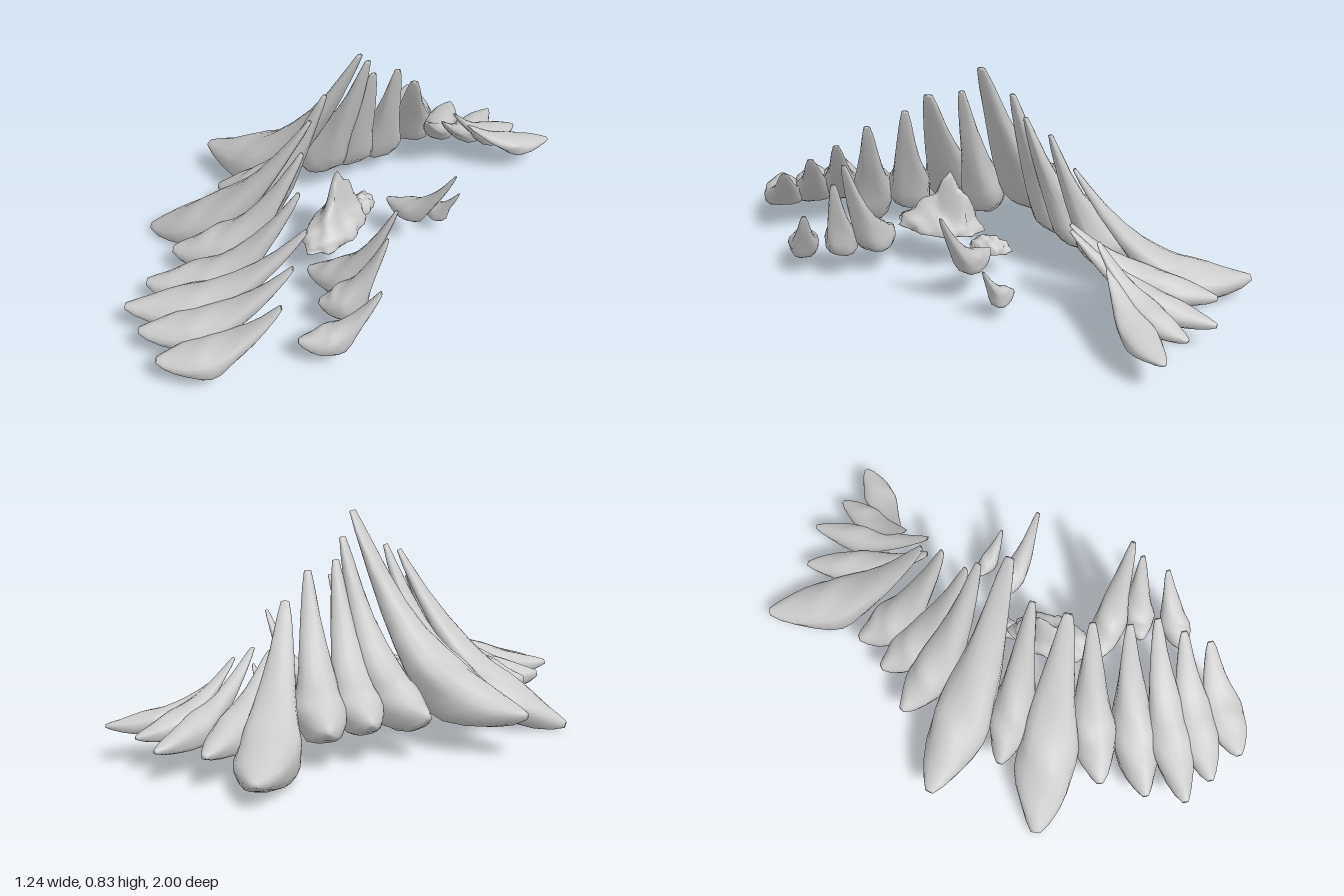
import * as THREE from 'three';

const material = new THREE.MeshStandardMaterial({ color: 0xcccccc, side: THREE.DoubleSide });

// Thickness along a spike, from its root (t = 0) to its tip (t = 1)
const PROFILE = [[0, 0.16], [0.05, 0.4], [0.13, 0.66], [0.22, 0.88], [0.31, 1], [0.38, 1.02], [0.45, 0.98],
  [0.53, 0.88], [0.63, 0.74], [0.74, 0.58], [0.85, 0.42], [0.95, 0.27], [1, 0.15]];
const SIDES = 14;

// Rounded-square curve used for the blunt underside
const blunt = v => Math.sign(v) * Math.abs(v) ** 0.7;

// A claw-like spike: cross-sections swept along a bent path from root to tip.
// The underside swells into a squared heel a little before the middle.
function spike(name, root, tip, width, depth, sag = 0.05, heel = 0.45) {
  const a = new THREE.Vector3(...root), b = new THREE.Vector3(...tip);
  const bend = a.clone().lerp(b, 0.53);
  bend.y = a.y - sag;
  const path = new THREE.CubicBezierCurve3(a, a.clone().lerp(bend, 0.74), b.clone().lerp(bend, 0.74), b);
  const heading = new THREE.Vector3(b.x - a.x, 0, b.z - a.z).normalize();
  const across = new THREE.Vector3(0, 1, 0).cross(heading);
  const pos = [], index = [];

  PROFILE.forEach(([t, r], i) => {
    const c = path.getPoint(t);
    const up = path.getTangent(t).cross(across);
    const swell = 1 + heel * Math.exp(-(((t - 0.42) / 0.16) ** 2));
    for (let j = 0; j < SIDES; j++) {
      const q = (j / SIDES) * Math.PI * 2;
      const under = Math.sin(q) < -1e-6;
      const u = under ? blunt(Math.cos(q)) : Math.cos(q);
      const v = under ? blunt(Math.sin(q)) * swell : Math.sin(q);
      // slight ridges make the surface look worn
      const ridge = 1 + 0.05 * Math.sin(3 * q + i * 1.3 + root[2] * 9);
      const p = c.clone()
        .addScaledVector(across, u * r * ridge * width / 2)
        .addScaledVector(up, v * r * ridge * (1 - 0.35 * t * t) * depth / 2);
      pos.push(p.x, p.y, p.z);
      if (i < PROFILE.length - 1) {
        const k = i * SIDES + j, l = i * SIDES + (j + 1) % SIDES;
        index.push(k, l, k + SIDES, l, l + SIDES, k + SIDES);
      }
    }
  });

  // Close both ends
  const last = (PROFILE.length - 1) * SIDES, n = pos.length / 3;
  pos.push(a.x, a.y, a.z, b.x, b.y, b.z);
  for (let j = 0; j < SIDES; j++) {
    const k = (j + 1) % SIDES;
    index.push(n, k, j, n + 1, last + j, last + k);
  }
  const geo = new THREE.BufferGeometry();
  geo.setAttribute('position', new THREE.Float32BufferAttribute(pos, 3));
  geo.setIndex(index);
  geo.computeVertexNormals();
  const mesh = new THREE.Mesh(geo, material);
  mesh.name = name;
  return mesh;
}

// A ragged lump: a squashed, dented sphere with a flat base; peaks are [x, z, height, spread]
function lump(name, center, size, peaks) {
  const geo = new THREE.SphereGeometry(1, 32, 20);
  const p = geo.attributes.position;
  for (let i = 0; i < p.count; i++) {
    const x = p.getX(i), y = p.getY(i), z = p.getZ(i);
    const rough = 1 + 0.1 * (Math.sin(7 * x + 3 * z) * Math.cos(6 * z - 2 * y) + 0.6 * Math.sin(11 * z + 5 * y));
    let py = center[1] + (y > 0 ? y * rough : y * 0.3) * size[1];
    for (const [px, pz, h, s] of peaks)
      if (y > 0) py += h * y * Math.exp(-((x - px) ** 2 + (z - pz) ** 2) / (s * s));
    p.setXYZ(i, center[0] + x * size[0] * rough, py, center[2] + z * size[2] * rough);
  }
  geo.computeVertexNormals();
  const mesh = new THREE.Mesh(geo, material);
  mesh.name = name;
  return mesh;
}

function row(name, spikes) {
  const group = new THREE.Group();
  group.name = name;
  spikes.forEach((s, i) => group.add(spike(`${name}Spike${i + 1}`, ...s)));
  return group;
}

export function createModel() {
  const model = new THREE.Group();
  model.name = 'spikeCluster';

  // Long curved row, front to back: root, tip, width, depth, sag, heel
  model.add(row('mainRow', [
    [[-0.11, 0.17, 0.98], [0.23, 0.36, 0.74], 0.16, 0.09, 0.04],
    [[-0.24, 0.17, 0.90], [0.21, 0.43, 0.63], 0.16, 0.11, 0.04],
    [[-0.35, 0.17, 0.83], [0.20, 0.50, 0.52], 0.16, 0.12],
    [[-0.37, 0.15, 0.68], [0.12, 0.56, 0.43], 0.17, 0.15, 0.07, 1.0],
    [[-0.38, 0.16, 0.50], [0.06, 0.62, 0.30], 0.17, 0.16],
    [[-0.62, 0.04, 0.32], [0.04, 0.69, 0.21], 0.23, 0.15, -0.08, 0.1],
    [[-0.43, 0.17, 0.11], [0.03, 0.72, 0.08], 0.16, 0.17, 0.03],
    [[-0.62, 0.17, -0.11], [0.11, 0.85, -0.03], 0.22, 0.17, 0.03],
    [[-0.35, 0.18, -0.32], [0.09, 0.76, -0.14], 0.17, 0.17],
    [[-0.21, 0.17, -0.46], [0.09, 0.68, -0.19], 0.17, 0.15, 0.04],
    [[-0.12, 0.16, -0.59], [0.14, 0.65, -0.30], 0.17, 0.15, 0.04],
    [[-0.11, 0.10, -1.0], [0.17, 0.55, -0.40], 0.2, 0.13, 0.06, 0.8],
  ]));

  // Low splayed spikes at the back
  model.add(row('backRow', [
    [[0.13, 0.13, -0.92], [0.23, 0.37, -0.41], 0.13, 0.1, -0.01],
    [[0.30, 0.13, -0.95], [0.29, 0.38, -0.43], 0.11, 0.09, -0.01],
    [[0.44, 0.14, -0.88], [0.30, 0.36, -0.53], 0.11, 0.08, -0.01],
    [[0.61, 0.15, -0.84], [0.34, 0.29, -0.58], 0.12, 0.065, 0.01],
  ]));

  // Short separate spikes on the opposite side
  model.add(row('sideRow', [
    [[0.11, 0.16, 0.35], [0.445, 0.555, 0.35], 0.13, 0.11, 0.03],
    [[0.23, 0.17, 0.49], [0.44, 0.47, 0.40], 0.12, 0.11, 0.03],
    [[0.25, 0.15, 0.67], [0.475, 0.34, 0.51], 0.11, 0.09, 0.04],
    [[0.21, 0.20, -0.10], [0.50, 0.45, -0.04], 0.09, 0.08, 0.03],
    [[0.31, 0.11, -0.23], [0.47, 0.26, -0.18], 0.07, 0.06, 0.0, 0.8],
  ]));

  // Ragged core between the rows
  const core = new THREE.Group();
  core.name = 'core';
  core.add(lump('corePeak', [0.11, 0.2, 0.15], [0.09, 0.06, 0.165],
    [[-0.2, -0.25, 0.15, 0.3], [0, -0.7, 0.14, 0.3], [0, 0.25, 0.04, 0.4]]));
  core.add(lump('coreLedge', [0.11, 0.14, -0.06], [0.045, 0.05, 0.08], []));
  model.add(core);

  return model;
}
